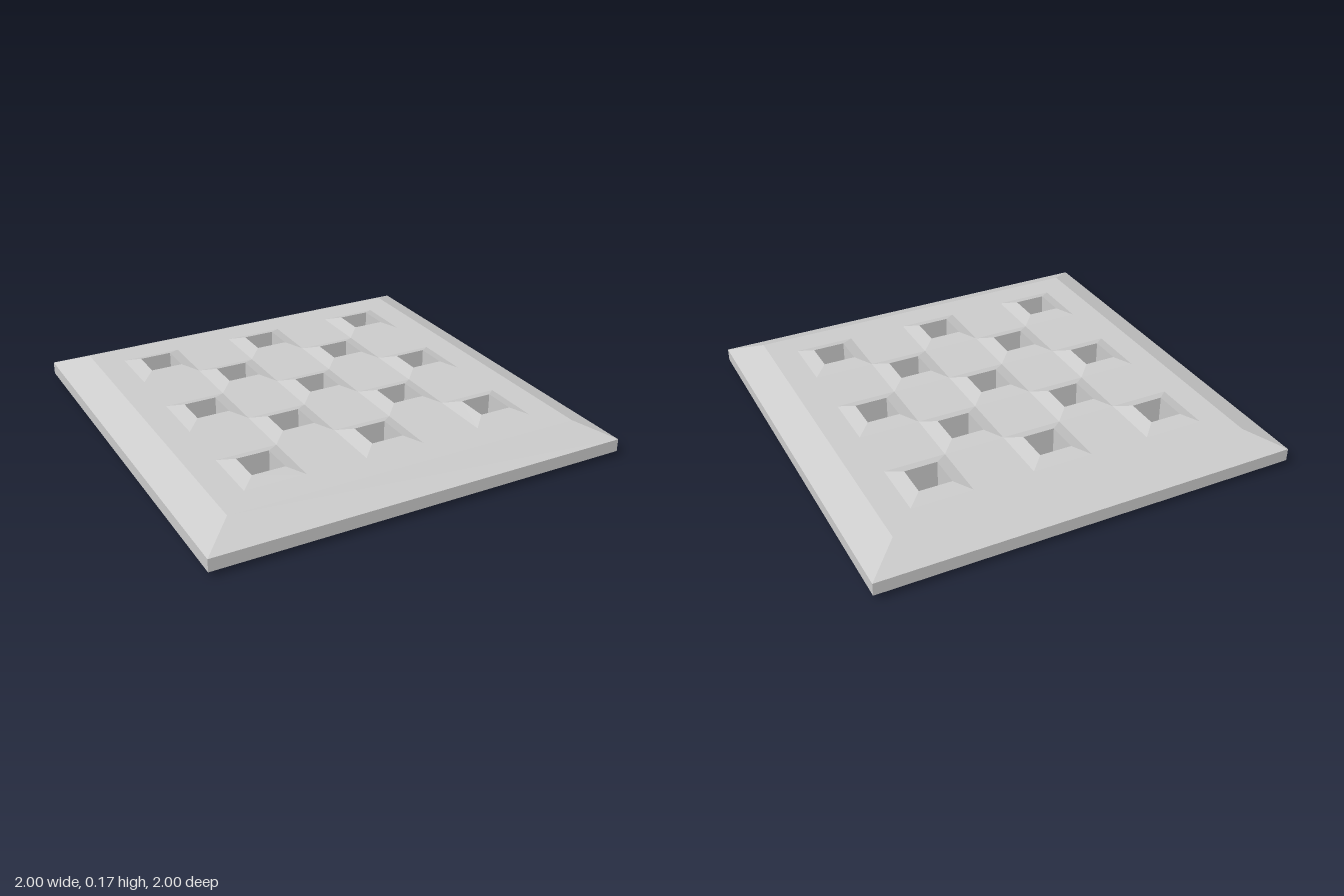
import * as THREE from 'three';

const PITCH = 0.286;          // spacing of the 5 x 5 checkerboard
const HALF = PITCH / 2;       // half width of one cell
const HOLE = 0.077;           // half width of a hole
const BOTTOM = 0.025, TOP = 0.15;

const material = new THREE.MeshStandardMaterial({ color: 0xcccccc, flatShading: true });

// Square rings joined along a profile of [half width, height] points
function squareRings(profile) {
  const points = profile.map(([half, y]) => new THREE.Vector2(half * Math.SQRT2, y));
  const geometry = new THREE.LatheGeometry(points, 4, Math.PI / 4).toNonIndexed();
  geometry.computeVertexNormals();
  return geometry;
}

function addPart(parent, name, geometry, x = 0, z = 0) {
  const mesh = new THREE.Mesh(geometry, material);
  mesh.name = name;
  mesh.position.set(x, 0, z);
  parent.add(mesh);
}

export function createModel() {
  const model = new THREE.Group();
  model.name = 'perforatedPlate';

  // Bevelled border around the checkerboard
  addPart(model, 'bevelledBorder', squareRings([
    [2.5 * PITCH, BOTTOM], [1, BOTTOM], [1, 0.085], [0.85, TOP], [2.5 * PITCH, TOP],
  ]));

  // Collar raised on both faces, with the square hole through it
  const collar = squareRings([[HALF, TOP], [HOLE, 0.172], [HOLE, 0], [HALF, BOTTOM]]);
  // Flat cells between the collars
  const flatTop = squareRings([[HALF, TOP], [0, TOP]]);
  const flatBottom = squareRings([[0, BOTTOM], [HALF, BOTTOM]]);

  for (let i = -2; i <= 2; i++) {
    for (let j = -2; j <= 2; j++) {
      const x = i * PITCH, z = j * PITCH;
      if ((i + j) % 2 === 0) {
        addPart(model, 'holeCollar', collar, x, z);
      } else {
        addPart(model, 'flatTop', flatTop, x, z);
        addPart(model, 'flatBottom', flatBottom, x, z);
      }
    }
  }
  return model;
}
